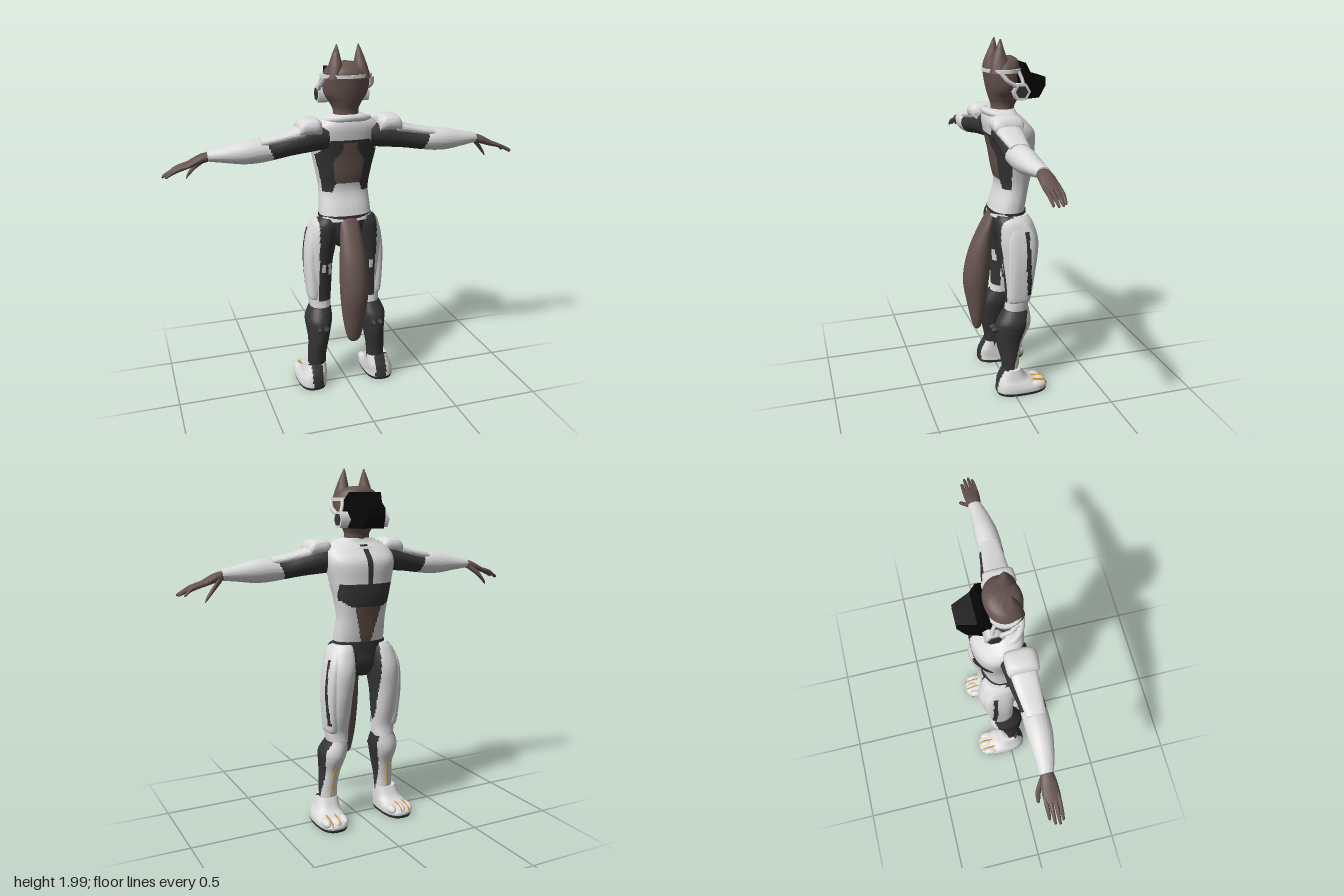
import * as THREE from 'three';
import { toCreasedNormals, mergeVertices } from 'three/addons/utils/BufferGeometryUtils.js';

const colours = { white: 0xdcdcdc, dark: 0x353535, fur: 0x65534f, black: 0x060606, orange: 0xe09a1a };
const names = Object.keys(colours);

export function createModel() {
  const model = new THREE.Group();
  model.name = 'armouredFoxFigure';
  const mats = names.map((name) => {
    const m = new THREE.MeshStandardMaterial({ color: colours[name] });
    m.name = name;
    return m;
  });
  const mat = (name) => mats[names.indexOf(name)];

  const spline = (a, b, c, d, t) =>
    b + 0.5 * t * (c - a + t * (2 * a - 5 * b + 4 * c - d + t * (3 * (b - c) + d - a)));

  // Point-in-polygon test for panel outlines
  function inside(x, y, poly) {
    let hit = false;
    poly.forEach(([x1, y1], i) => {
      const [x2, y2] = poly[(i + 1) % poly.length];
      if ((y1 > y) !== (y2 > y) && x < x1 + ((x2 - x1) * (y - y1)) / (y2 - y1)) hit = !hit;
    });
    return hit;
  }

  // Smooth body through oval sections.
  // axis y: [y, centreX, centreZ, radiusX, radiusZ]; axis x: [x, centreY, centreZ, radiusY, radiusZ]
  // paint is a colour name, or a rule giving one for each face position
  function loft(name, keys, paint, { axis = 'y', seg = 32, sub = 6, pow = 1 } = {}) {
    const pos = [], rows = (keys.length - 1) * sub;
    const key = (i) => keys[Math.min(Math.max(i, 0), keys.length - 1)];
    const put = (s, u, v) => (axis === 'y' ? pos.push(u, s, v) : pos.push(s, v, u));
    const bend = (v) => Math.sign(v) * Math.abs(v) ** pow;
    const centres = [];
    for (let r = 0; r <= rows; r++) {
      const i = Math.min(Math.floor(r / sub), keys.length - 2), t = r / sub - i;
      const k = key(i).map((_, n) => spline(key(i - 1)[n], key(i)[n], key(i + 1)[n], key(i + 2)[n], t));
      const [s, c1, c2, r1, r2] = k;
      const [cu, cv, ru, rv] = axis === 'y' ? [c1, c2, r1, r2] : [c2, c1, r2, r1];
      centres.push([s, cu, cv]);
      for (let j = 0; j < seg; j++) {
        const a = (j / seg) * Math.PI * 2;
        put(s, cu + ru * bend(Math.cos(a)), cv + rv * bend(Math.sin(a)));
      }
    }
    put(...centres[0]);
    put(...centres[rows]);
    const lists = names.map(() => []);
    const face = (...v) => {
      const mid = [0, 1, 2].map((n) => v.reduce((sum, i) => sum + pos[i * 3 + n], 0) / v.length);
      const list = lists[names.indexOf(typeof paint === 'string' ? paint : paint(...mid))];
      for (let i = 2; i < v.length; i++) list.push(v[0], v[i - 1], v[i]);
    };
    const bottom = (rows + 1) * seg;
    for (let j = 0; j < seg; j++) {
      const n = (j + 1) % seg;
      for (let r = 0; r < rows; r++) face(r * seg + j, (r + 1) * seg + j, (r + 1) * seg + n, r * seg + n);
      face(bottom, j, n);
      face(bottom + 1, rows * seg + n, rows * seg + j);
    }
    const geo = new THREE.BufferGeometry();
    geo.setAttribute('position', new THREE.Float32BufferAttribute(pos, 3));
    geo.setIndex(lists.flat());
    let start = 0;
    lists.forEach((l, i) => {
      if (l.length) geo.addGroup(start, l.length, i);
      start += l.length;
    });
    const out = toCreasedNormals(geo, 0.8);
    if (typeof paint === 'string') out.clearGroups();
    return add(name, out, typeof paint === 'string' ? mat(paint) : mats);
  }

  function add(name, geo, material) {
    const mesh = new THREE.Mesh(geo, material);
    mesh.name = name;
    model.add(mesh);
    return mesh;
  }

  // Copies a left part to the right, reversing corner order
  function mirror(mesh) {
    const geo = mesh.geometry.index ? mesh.geometry.clone() : mergeVertices(mesh.geometry);
    geo.scale(-1, 1, 1);
    const ix = geo.index.array;
    for (let i = 0; i < ix.length; i += 3) [ix[i], ix[i + 1]] = [ix[i + 1], ix[i]];
    add(mesh.name.replace('left', 'right'), geo, mesh.material);
  }
  const pair = (name, keys, paint, opts) => mirror(loft('left' + name, keys, paint, opts));
  const wire = (name, pts, r, colour) => mirror(add('left' + name, new THREE.TubeGeometry(
    new THREE.CatmullRomCurve3(pts.map((p) => new THREE.Vector3(...p)), false, 'catmullrom', 0.2), 16, r, 6), mat(colour)));

  // Torso suit with back panels, chest cross and bare midriff (half outlines)
  const backFur = [[-1, 1.48], [0.037, 1.48], [0.045, 1.43], [0.085, 1.38], [0.085, 1.31], [0.07, 1.24], [-1, 1.24]];
  const backDark = [[-1, 1.495], [0.11, 1.495], [0.21, 1.36], [0.18, 1.19], [0.085, 1.19], [0.07, 1.24], [-1, 1.24]];
  const chestDark = [[-1, 1.62], [0.02, 1.62], [0.02, 1.385], [0.16, 1.385], [0.16, 1.3], [0.1, 1.26], [-1, 1.26]];
  const bellyFur = [[-1, 1.26], [0.08, 1.26], [0.03, 1.06], [-1, 1.06]];
  loft('torso', [
    [1.03, 0, -0.015, 0.15, 0.095], [1.1, 0, -0.032, 0.147, 0.094], [1.2, 0, -0.054, 0.143, 0.09],
    [1.3, 0, -0.055, 0.158, 0.11], [1.4, 0, -0.05, 0.18, 0.121], [1.5, 0, -0.038, 0.2, 0.13],
    [1.56, 0, -0.01, 0.19, 0.11], [1.6, 0, 0.008, 0.14, 0.085], [1.625, 0, 0.005, 0.09, 0.07],
  ], (x, y, z) => {
    const a = Math.abs(x);
    if (z > 0) return inside(a, y, backFur) ? 'fur' : inside(a, y, backDark) ? 'dark' : 'white';
    if (z < -0.085) return inside(a, y, chestDark) ? 'dark' : inside(a, y, bellyFur) ? 'fur' : 'white';
    return z > -0.015 && inside(a, y, backDark) ? 'dark' : 'white';
  }, { seg: 120, sub: 12, pow: 0.85 });

  // Collar ring, lower at the chest
  const collar = new THREE.TorusGeometry(0.115, 0.022, 10, 40);
  collar.rotateX(Math.PI / 2 - 0.25).scale(1.05, 0.9, 0.85).translate(0, 1.588, 0);
  add('collar', collar, mat('white'));

  // Belt and pelvis
  loft('pelvis', [[0.86, 0, -0.03, 0.05, 0.06], [0.93, 0, -0.03, 0.12, 0.09],
    [1.0, 0, -0.025, 0.15, 0.1], [1.06, 0, -0.026, 0.152, 0.104]], 'dark', { pow: 0.9 });

  // Head, neck and ears
  loft('head', [
    [1.57, 0, 0, 0.08, 0.065], [1.64, 0, -0.005, 0.07, 0.065], [1.685, 0, -0.012, 0.088, 0.085],
    [1.73, 0, -0.008, 0.118, 0.093], [1.79, 0, -0.002, 0.13, 0.098], [1.84, 0, 0.003, 0.127, 0.097],
    [1.88, 0, -0.005, 0.095, 0.08], [1.9, 0, -0.02, 0.04, 0.04],
  ], 'fur');
  pair('Ear', [[1.82, 0.08, 0.03, 0.047, 0.06], [1.88, 0.07, 0.032, 0.037, 0.045],
    [1.935, 0.065, 0.029, 0.023, 0.024], [1.993, 0.06, 0.025, 0.003, 0.004]], 'fur', { seg: 16 });

  // Black muzzle mask: side profile narrowed towards the nose
  const profile = [[0.05, 1.81], [0.105, 1.87], [0.137, 1.815], [0.232, 1.787], [0.232, 1.74], [0.192, 1.68], [0.09, 1.68], [0.06, 1.74]];
  const mask = new THREE.ExtrudeGeometry(new THREE.Shape(profile.map((p) => new THREE.Vector2(...p))), { depth: 2, bevelEnabled: false });
  mask.translate(0, 0, -1).rotateY(Math.PI / 2);
  const mp = mask.attributes.position;
  for (let i = 0; i < mp.count; i++) mp.setX(i, mp.getX(i) * THREE.MathUtils.mapLinear(mp.getZ(i), -0.05, -0.235, 0.115, 0.052));
  mask.computeVertexNormals();
  add('muzzleMask', mask, mat('black'));

  // Headband, straps and hexagonal cheek pads
  loft('headband', [[1.822, 0, 0, 0.144, 0.105], [1.84, 0, 0, 0.144, 0.105]], 'white', { sub: 1, seg: 40 });
  const pad = (name, r, h, x, colour) => mirror(add('left' + name,
    new THREE.CylinderGeometry(r, r, h, 6).rotateZ(Math.PI / 2).translate(x, 1.725, -0.068), mat(colour)));
  pad('CheekPad', 0.05, 0.06, 0.115, 'white');
  pad('CheekPadCentre', 0.034, 0.008, 0.146, 'dark');
  wire('RearStrap', [[0.132, 1.828, 0.045], [0.144, 1.785, 0.01], [0.14, 1.755, -0.04]], 0.012, 'white');
  wire('FrontStrap', [[0.112, 1.83, -0.06], [0.124, 1.79, -0.075], [0.134, 1.76, -0.08]], 0.01, 'white');

  // Arms: dark upper sleeve, white top and forearm
  pair('Arm', [
    [0.12, 1.51, 0.015, 0.07, 0.08], [0.22, 1.505, 0.028, 0.073, 0.08], [0.32, 1.485, 0.038, 0.062, 0.073],
    [0.42, 1.464, 0.05, 0.055, 0.066], [0.5, 1.462, 0.053, 0.063, 0.066], [0.58, 1.458, 0.052, 0.06, 0.063],
    [0.68, 1.453, 0.045, 0.042, 0.05], [0.765, 1.45, 0.034, 0.028, 0.036],
  ], (x, y) => (x > 0.44 + (y - 1.46) * 0.4 || y > 1.565 - (x - 0.2) * 0.22 ? 'white' : 'dark'),
  { axis: 'x', seg: 56, sub: 10 });
  pair('ShoulderPad', [[0.165, 1.565, 0.04, 0.04, 0.07], [0.19, 1.577, 0.043, 0.044, 0.083],
    [0.26, 1.575, 0.043, 0.044, 0.083], [0.285, 1.56, 0.043, 0.035, 0.075]], 'white', { axis: 'x', pow: 0.75 });
  pair('UpperArmPlate', [[0.26, 1.55, 0.043, 0.032, 0.07], [0.36, 1.529, 0.047, 0.024, 0.062],
    [0.49, 1.505, 0.054, 0.022, 0.05]], 'white', { axis: 'x', pow: 0.8 });

  // Hands
  pair('Palm', [[0.74, 1.45, 0.034, 0.024, 0.03], [0.8, 1.437, 0.034, 0.025, 0.04],
    [0.86, 1.413, 0.034, 0.018, 0.044], [0.9, 1.398, 0.034, 0.012, 0.042]], 'fur', { axis: 'x', seg: 20 });
  [[0.001, 0.97], [0.023, 0.995], [0.046, 1.0], [0.066, 0.985]].forEach(([z, tip], i) =>
    pair('Finger' + (i + 1), [[0.86, 1.412, z, 0.012, 0.011], [0.93, 1.39, z, 0.012, 0.01],
      [tip - 0.008, 1.363, z, 0.008, 0.007], [tip, 1.358, z, 0.003, 0.003]], 'fur', { axis: 'x', seg: 10, sub: 3 }));
  pair('Thumb', [[0.77, 1.435, 0.015, 0.017, 0.015], [0.82, 1.392, -0.018, 0.017, 0.014],
    [0.86, 1.345, -0.028, 0.012, 0.01], [0.872, 1.324, -0.028, 0.004, 0.004]], 'fur', { axis: 'x', seg: 10, sub: 4 });

  // Thighs: white outside and front, dark inside and behind
  pair('Thigh', [
    [0.485, 0.147, -0.043, 0.06, 0.07], [0.55, 0.15, -0.045, 0.066, 0.065], [0.65, 0.147, -0.055, 0.07, 0.08],
    [0.77, 0.144, -0.06, 0.074, 0.1], [0.9, 0.133, -0.055, 0.086, 0.115], [1.0, 0.116, -0.037, 0.08, 0.106],
    [1.045, 0.105, -0.03, 0.06, 0.085],
  ], (x, y, z) => {
    if (y < 0.535) return 'white';
    const claw = (c, lo) => Math.abs(x - c) < 0.012 && y > lo && y < 0.77;
    if (z > 0 && (claw(0.102, 0.7) || claw(0.14, 0.72))) return 'white';
    return x < (z > -0.02 ? 0.168 : 0.082) ? 'dark' : 'white';
  }, { seg: 72, sub: 12, pow: 0.9 });
  pair('ThighPlate', [
    [0.545, 0.182, -0.045, 0.028, 0.055], [0.58, 0.188, -0.048, 0.035, 0.066], [0.78, 0.192, -0.06, 0.042, 0.08],
    [0.92, 0.182, -0.06, 0.038, 0.082], [1.0, 0.165, -0.05, 0.03, 0.06], [1.025, 0.155, -0.045, 0.018, 0.04],
  ], (x, y, z) => (x > 0.18 && Math.abs(z + 0.09 + (0.8 - y) * 0.04) < 0.013 && y > 0.6 && y < 0.97 ? 'dark' : 'white'),
  { seg: 64, sub: 10, pow: 0.7 });

  // Lower legs: dark calf with white shin guard
  pair('LowerLeg', [
    [0.11, 0.182, 0.002, 0.053, 0.045], [0.2, 0.182, 0.006, 0.054, 0.054], [0.3, 0.172, 0.006, 0.06, 0.077],
    [0.38, 0.167, -0.012, 0.073, 0.1], [0.43, 0.163, -0.022, 0.079, 0.1], [0.495, 0.15, -0.04, 0.064, 0.074],
  ], (x, y, z) => (z < -0.018 - (y - 0.2) * 0.26 ? 'white' : 'dark'), { seg: 64, sub: 10 });
  for (const x of [0.145, 0.185]) {
    const stud = new THREE.SphereGeometry(0.018, 12, 8).scale(1, 1, 2).translate(x, 0.39, 0.085);
    mirror(add('leftCalfStud', stud, mat('dark')));
  }
  wire('ShinLight', [[0.165, 0.4, -0.114], [0.172, 0.3, -0.071], [0.182, 0.2, -0.048], [0.186, 0.15, -0.044]], 0.004, 'orange');

  // Boots with dark sole and heel strip, toes and lights
  pair('Boot', [
    [0, 0.21, -0.055, 0.08, 0.145], [0.015, 0.21, -0.055, 0.085, 0.15], [0.04, 0.21, -0.053, 0.085, 0.147],
    [0.065, 0.206, -0.025, 0.08, 0.115], [0.09, 0.2, -0.002, 0.072, 0.085], [0.145, 0.192, 0.002, 0.062, 0.052],
  ], (x, y, z) => (y < 0.017 || (z > 0.02 && Math.abs(x - 0.197) < 0.032) ? 'dark' : 'white'),
  { seg: 64, sub: 8, pow: 0.75 });
  for (const x of [0.157, 0.21, 0.263]) {
    const toe = new THREE.SphereGeometry(0.027, 16, 10).scale(1, 1.05, 2).translate(x, 0.042, x === 0.21 ? -0.148 : -0.135);
    mirror(add('leftToe', toe, mat('white')));
  }
  for (const x of [0.198, 0.247])
    wire('ToeLight', [[x, 0.072, -0.105], [x, 0.069, -0.15], [x, 0.058, -0.187], [x, 0.035, -0.2]], 0.004, 'orange');

  // Tail
  loft('tail', [
    [0.33, 0, 0.155, 0.022, 0.012], [0.36, 0, 0.152, 0.042, 0.028], [0.48, 0, 0.153, 0.066, 0.054],
    [0.64, 0, 0.155, 0.081, 0.075], [0.8, 0, 0.133, 0.077, 0.068], [0.94, 0, 0.098, 0.064, 0.042],
    [1.05, 0, 0.055, 0.05, 0.022],
  ], 'fur', { seg: 24 });

  return model;
}
